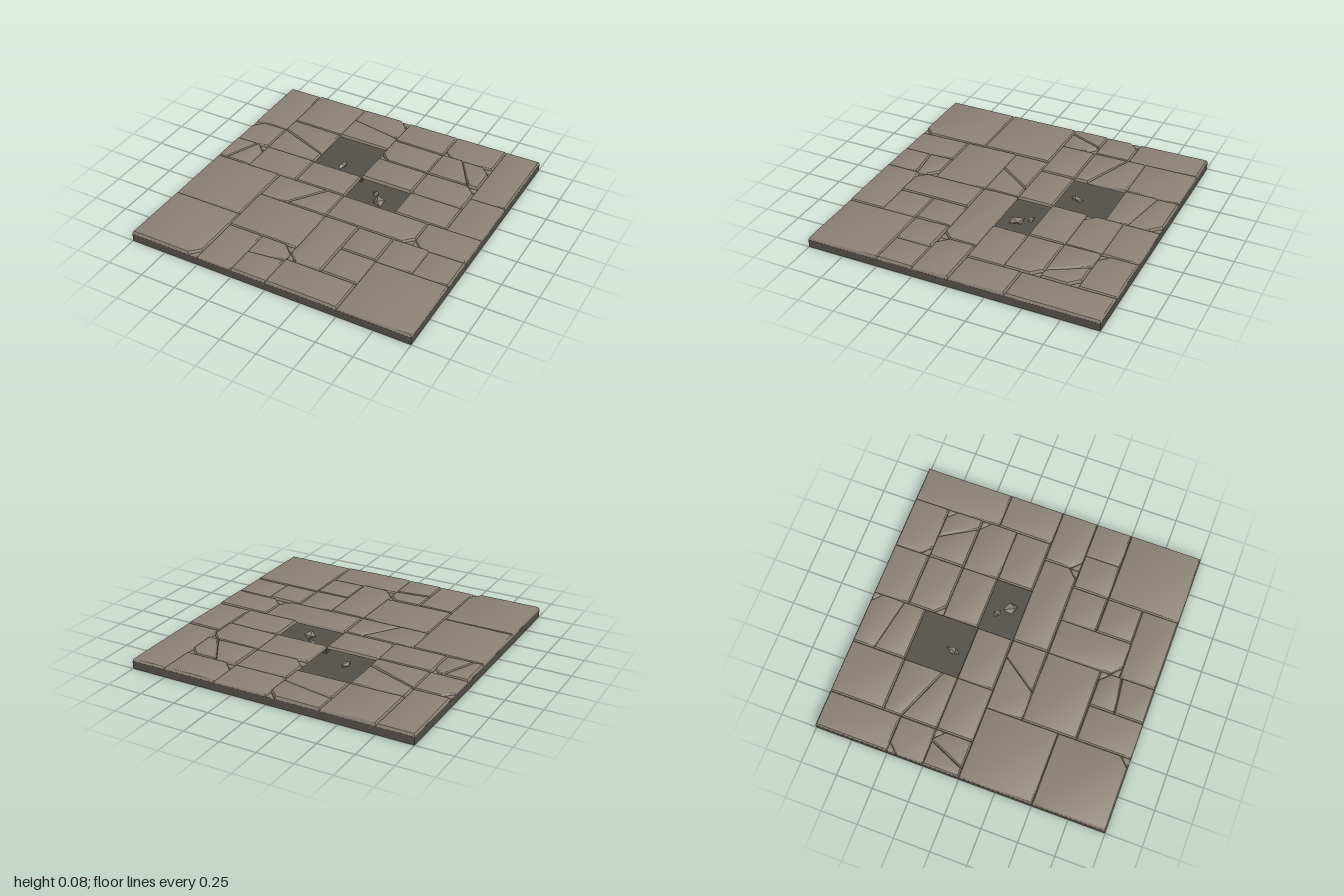
import * as THREE from 'three';
import { mergeVertices, toCreasedNormals } from 'three/addons/utils/BufferGeometryUtils.js';

const stoneMat = new THREE.MeshStandardMaterial({ color: 0x8a8175 });
stoneMat.name = 'weathered stone';
const mortarMat = new THREE.MeshStandardMaterial({ color: 0x524e48 });
mortarMat.name = 'dark mortar';

const BED = 0.055, PIT = 0.02;

// Missing stones: x0, z0, x1, z1
const pits = [[-0.375, -0.625, 0, -0.25], [0, -0.25, 0.375, 0]];

// Columns of paving: x0, x1, then the joints along z
const columns = [
  [-1, -0.75, -1, -0.5, -0.25, 0],
  [-0.75, -0.375, -1, -0.625, -0.25, 0],
  [-0.375, 0, -1, -0.625, -0.25, 0],
  [0, 0.375, -1, -0.75, -0.5, -0.25, 0],
  [0.375, 0.75, -1, -0.75, -0.5, -0.25, 0],
  [0.75, 1, -1, -0.38, 0],
  [-1, -0.5, 0, 0.5, 1],
  [-0.5, 0, 0, 0.25, 0.625],
  [-0.5, -0.25, 0.625, 1],
  [-0.25, 0, 0.625, 1],
  [0, 0.625, 0, 0.25],
  [0.625, 1, 0, 0.25],
  [0, 0.25, 0.25, 0.75],
  [0.25, 0.5, 0.25, 0.5, 0.75],
  [0, 0.5, 0.75, 1],
  [0.5, 0.75, 0.25, 0.5],
  [0.75, 1, 0.25, 0.5],
  [0.5, 1, 0.5, 1],
];

// Cracks across whole stones: ax, az, bx, bz
const cracks = [
  [-0.375, -0.85, 0, -0.78], [0.53, -0.75, 0.68, -0.5], [-0.75, -0.5, -0.375, -0.35],
  [-0.83, -0.25, -0.94, 0], [-0.12, 0, -0.3, 0.25], [-0.25, 0.8, 0, 0.77],
];

// Broken corners: corner x, z and the signed direction into the stone
const corners = [
  [0, -1, -1, 1], [0.375, -0.75, 1, -1], [0, -0.5, 1, -1], [0.75, -0.75, -1, 1],
  [0.75, -0.5, -1, 1], [-1, -0.5, 1, 1], [-0.75, -0.25, -1, 1], [0.625, 0.25, -1, -1],
  [0.625, 0.25, 1, -1], [0, 0.75, 1, -1], [-0.5, 1, -1, -1], [0, 0.625, -1, 1],
];
const CHIP = 0.067;
const breaks = [...cracks, ...corners.map(([x, z, sx, sz]) => [x + sx * CHIP, z, x, z + sz * CHIP])];

let seed = 11;
const rand = () => (seed = (seed * 16807) % 2147483647) / 2147483647;

// Cuts a convex outline along a line, keeping one side
function clip(poly, [ax, az, bx, bz], sign) {
  const side = ([x, z]) => sign * ((bx - ax) * (z - az) - (bz - az) * (x - ax));
  const out = [];
  poly.forEach((p, i) => {
    const q = poly[(i + 1) % poly.length], a = side(p), b = side(q);
    if (a >= -1e-6) out.push(p);
    if ((a > 1e-6 && b < -1e-6) || (a < -1e-6 && b > 1e-6)) {
      const t = a / (a - b);
      out.push([p[0] + (q[0] - p[0]) * t, p[1] + (q[1] - p[1]) * t]);
    }
  });
  return out;
}

function area(poly) {
  return Math.abs(poly.reduce((s, [x, z], i) => {
    const [u, v] = poly[(i + 1) % poly.length];
    return s + x * v - u * z;
  }, 0)) / 2;
}

// Moves every edge of a convex outline inwards by d
function inset(poly, d) {
  const n = poly.length;
  const normal = i => {
    const [x, z] = poly[i % n], [u, v] = poly[(i + 1) % n], l = Math.hypot(u - x, v - z);
    return [(v - z) / l, -(u - x) / l];
  };
  return poly.map(([x, z], i) => {
    const a = normal(i + n - 1), b = normal(i), k = d / (1 + a[0] * b[0] + a[1] * b[1]);
    return [x + (a[0] + b[0]) * k, z + (a[1] + b[1]) * k];
  });
}

// A worn slab: rounded rim rings closed by a slightly tilted top
function slabGeometry(poly, height, tiltX, tiltZ) {
  const n = poly.length, pos = [], index = [];
  const cx = poly.reduce((s, p) => s + p[0], 0) / n, cz = poly.reduce((s, p) => s + p[1], 0) / n;
  const rings = [[0.0005, 0], [0.003, 0.4], [0.008, 0.85], [0.015, 1]];
  rings.forEach(([d, f]) => inset(poly, d).forEach(([x, z]) => {
    const top = height + (x - cx) * tiltX + (z - cz) * tiltZ;
    pos.push(x, BED + (top - BED) * f, z);
  }));
  for (let r = 0; r < rings.length - 1; r++) {
    for (let i = 0; i < n; i++) {
      const a = r * n + i, b = r * n + (i + 1) % n;
      index.push(a, b, b + n, a, b + n, a + n);
    }
  }
  const t = (rings.length - 1) * n;
  for (let i = 1; i < n - 1; i++) index.push(t, t + i, t + i + 1);
  const g = new THREE.BufferGeometry();
  g.setAttribute('position', new THREE.Float32BufferAttribute(pos, 3));
  g.setIndex(index);
  return toCreasedNormals(mergeVertices(g), 0.65);
}

// One paving stone, split by the breaks whose midpoint lies inside it
function addStone(group, x0, z0, x1, z1) {
  let pieces = [[[x0, z0], [x0, z1], [x1, z1], [x1, z0]]];
  breaks.forEach(line => {
    const mx = (line[0] + line[2]) / 2, mz = (line[1] + line[3]) / 2;
    if (mx < x0 || mx > x1 || mz < z0 || mz > z1) return;
    pieces = pieces.flatMap(p => {
      const halves = [clip(p, line, 1), clip(p, line, -1)];
      return halves.every(h => h.length > 2 && area(h) > 0.001) ? halves : [p];
    });
  });
  const height = 0.074 + rand() * 0.007;
  const size = Math.max(x1 - x0, z1 - z0);
  const tilt = () => (rand() - 0.5) * 0.012 / size;
  pieces.forEach(p => {
    const small = area(p) < 0.004;
    const geometry = small ? slabGeometry(p, 0.066, 0, 0) : slabGeometry(p, height, tilt(), tilt());
    const stone = new THREE.Mesh(geometry, stoneMat);
    stone.name = small ? 'cornerChip' : 'pavingStone';
    group.add(stone);
  });
}

export function createModel() {
  const model = new THREE.Group();
  model.name = 'pavedFloorTile';

  // Mortar bed: a thin floor and a thicker layer pierced by the two missing stones
  const floor = new THREE.Mesh(new THREE.BoxGeometry(2, PIT, 2), mortarMat);
  floor.name = 'baseFloor';
  floor.position.y = PIT / 2;
  model.add(floor);

  const rect = (x0, z0, x1, z1) =>
    [[x0, -z0], [x1, -z0], [x1, -z1], [x0, -z1]].map(([x, y]) => new THREE.Vector2(x, y));
  const outline = new THREE.Shape(rect(-1, -1, 1, 1));
  pits.forEach(p => outline.holes.push(new THREE.Path(rect(...p))));
  const bed = new THREE.Mesh(
    new THREE.ExtrudeGeometry(outline, { depth: BED - PIT, bevelEnabled: false }), mortarMat);
  bed.name = 'mortarBed';
  bed.rotation.x = -Math.PI / 2;
  bed.position.y = PIT;
  model.add(bed);

  // Paving stones, leaving the pits open
  const paving = new THREE.Group();
  paving.name = 'pavingStones';
  columns.forEach(([x0, x1, ...joints]) => {
    for (let i = 0; i < joints.length - 1; i++) {
      const missing = pits.some(p => p[0] === x0 && p[1] === joints[i]);
      if (!missing) addStone(paving, x0, joints[i], x1, joints[i + 1]);
    }
  });
  model.add(paving);

  // Loose rubble in the pits: x, z, half sizes, turn
  [[-0.2, -0.35, 0.026, 0.02, 0.055, -0.25],
   [0.155, -0.17, 0.036, 0.016, 0.022, -0.4],
   [0.215, -0.095, 0.042, 0.026, 0.06, 0.5]].forEach(([x, z, sx, sy, sz, turn]) => {
    const g = new THREE.OctahedronGeometry(1);
    g.rotateX(0.5).rotateZ(0.35).scale(sx, sy, sz);
    const rubble = new THREE.Mesh(g, stoneMat);
    rubble.name = 'rubble';
    rubble.position.set(x, PIT + sy * 0.75, z);
    rubble.rotation.y = turn;
    model.add(rubble);
  });
  return model;
}
